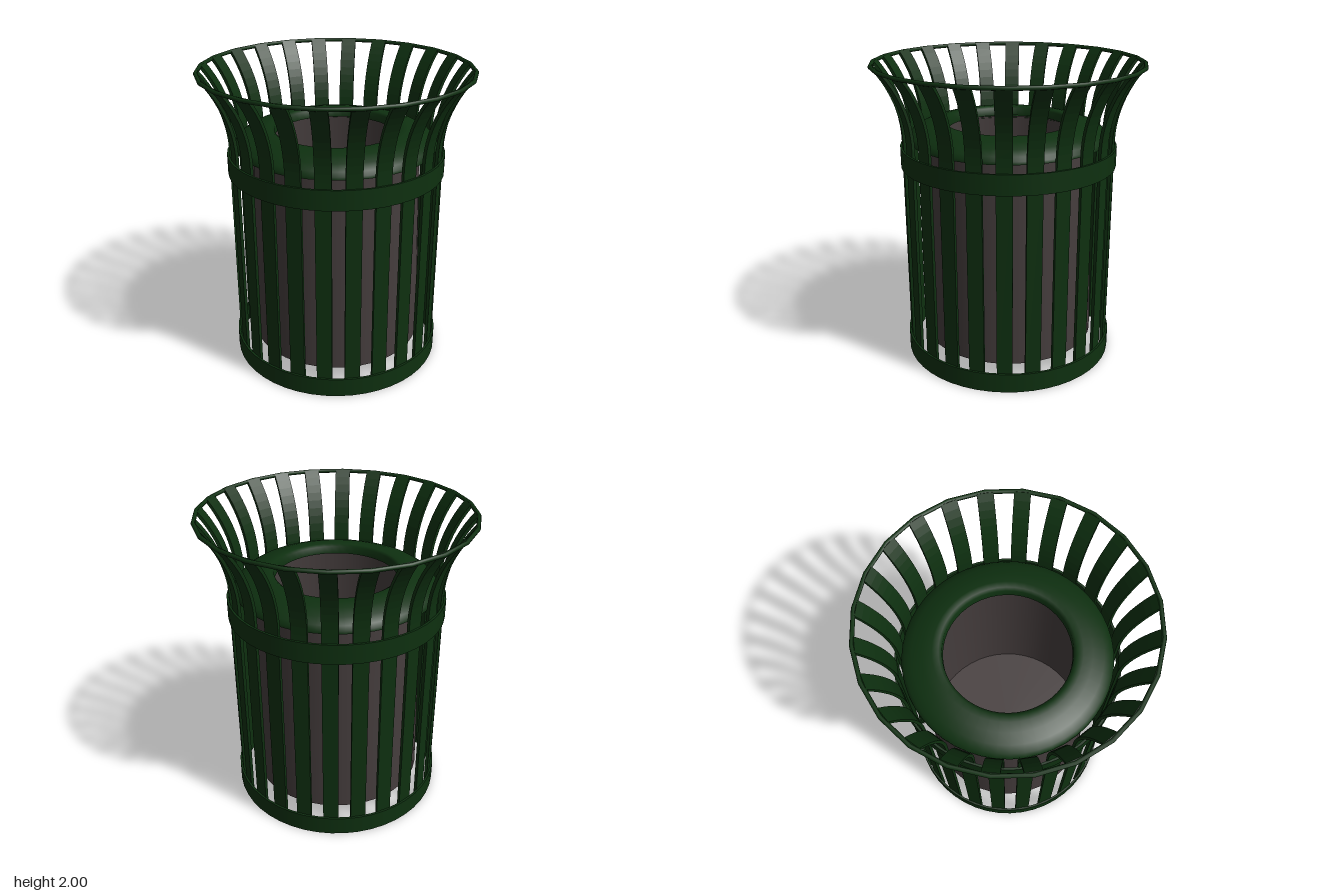
import * as THREE from 'three';

const green = new THREE.MeshStandardMaterial({ color: 0x0e3010, side: THREE.DoubleSide });
green.name = 'dark green paint';
const grey = new THREE.MeshStandardMaterial({ color: 0x453d3d, side: THREE.DoubleSide });
grey.name = 'warm grey liner';

const SLATS = 24;

// Revolve a list of [radius, height] points.
function lathe(name, points, material, segments = 48) {
  const profile = points.map(([r, y]) => new THREE.Vector2(r, y));
  const mesh = new THREE.Mesh(new THREE.LatheGeometry(profile, segments), material);
  mesh.name = name;
  return mesh;
}

// Flat hoop with square edges, each face its own lathe so the edges stay sharp.
function hoop(name, inner, outer, y0, y1, segments) {
  const group = new THREE.Group();
  group.name = name;
  const c = [[outer, y0], [outer, y1], [inner, y1], [inner, y0]];
  c.forEach((p, i) => group.add(lathe(name + 'Face', [p, c[(i + 1) % 4]], green, segments)));
  return group;
}

// Side profile of a slat: straight below, then an arc that flares outward.
function slatGeometry() {
  const width = 0.1, thick = 0.02, outer = 0.695, bendY = 1.5, radius = 0.76, sweep = 0.69, steps = 10;
  const outside = [[outer, 0.005]], inside = [[outer - thick, 0.005]];
  for (let i = 0; i <= steps; i++) {
    const a = (sweep * i) / steps;
    const arc = (r) => [outer + radius - r * Math.cos(a), bendY + r * Math.sin(a)];
    outside.push(arc(radius));
    inside.push(arc(radius + thick));
  }
  const shape = new THREE.Shape([...outside, ...inside.reverse()].map(([x, y]) => new THREE.Vector2(x, y)));
  const geometry = new THREE.ExtrudeGeometry(shape, { depth: width, bevelEnabled: false });
  return geometry.translate(0, 0, -width / 2);
}

export function createModel() {
  const model = new THREE.Group();
  model.name = 'litterBin';

  // Ring of flared slats
  const slats = new THREE.Group();
  slats.name = 'slats';
  const geometry = slatGeometry();
  for (let i = 0; i < SLATS; i++) {
    const slat = new THREE.Mesh(geometry, green);
    slat.name = 'slat';
    slat.rotation.y = (i / SLATS) * Math.PI * 2;
    slats.add(slat);
  }
  model.add(slats);

  // Hoops around the slats
  model.add(hoop('bottomBand', 0.695, 0.71, 0, 0.13, 48));
  model.add(hoop('upperBand', 0.695, 0.71, 1.33, 1.46, 48));

  // Rounded wire rim joining the slat tops
  const rim = new THREE.Mesh(new THREE.TorusGeometry(0.87, 0.0135, 8, SLATS), green);
  rim.name = 'topRim';
  rim.rotation.x = Math.PI / 2;
  rim.position.y = 1.9865;
  model.add(rim);

  // Liner: slightly tapered wall and a floor raised off the ground
  model.add(lathe('linerWall', [[0.58, 0.13], [0.546, 1.51]], grey));
  const floor = new THREE.Mesh(new THREE.CircleGeometry(0.58, 48), grey);
  floor.name = 'linerFloor';
  floor.rotation.x = -Math.PI / 2;
  floor.position.y = 0.13;
  model.add(floor);

  // Domed lid with a round opening and a rolled inner lip
  model.add(lathe('lid', [
    [0.655, 1.5], [0.655, 1.52], [0.635, 1.545], [0.59, 1.575], [0.52, 1.6],
    [0.46, 1.613], [0.42, 1.613], [0.4, 1.6], [0.397, 1.55],
  ], green));
  model.add(lathe('lidUnderside', [[0.54, 1.5], [0.655, 1.5]], green));

  return model;
}
